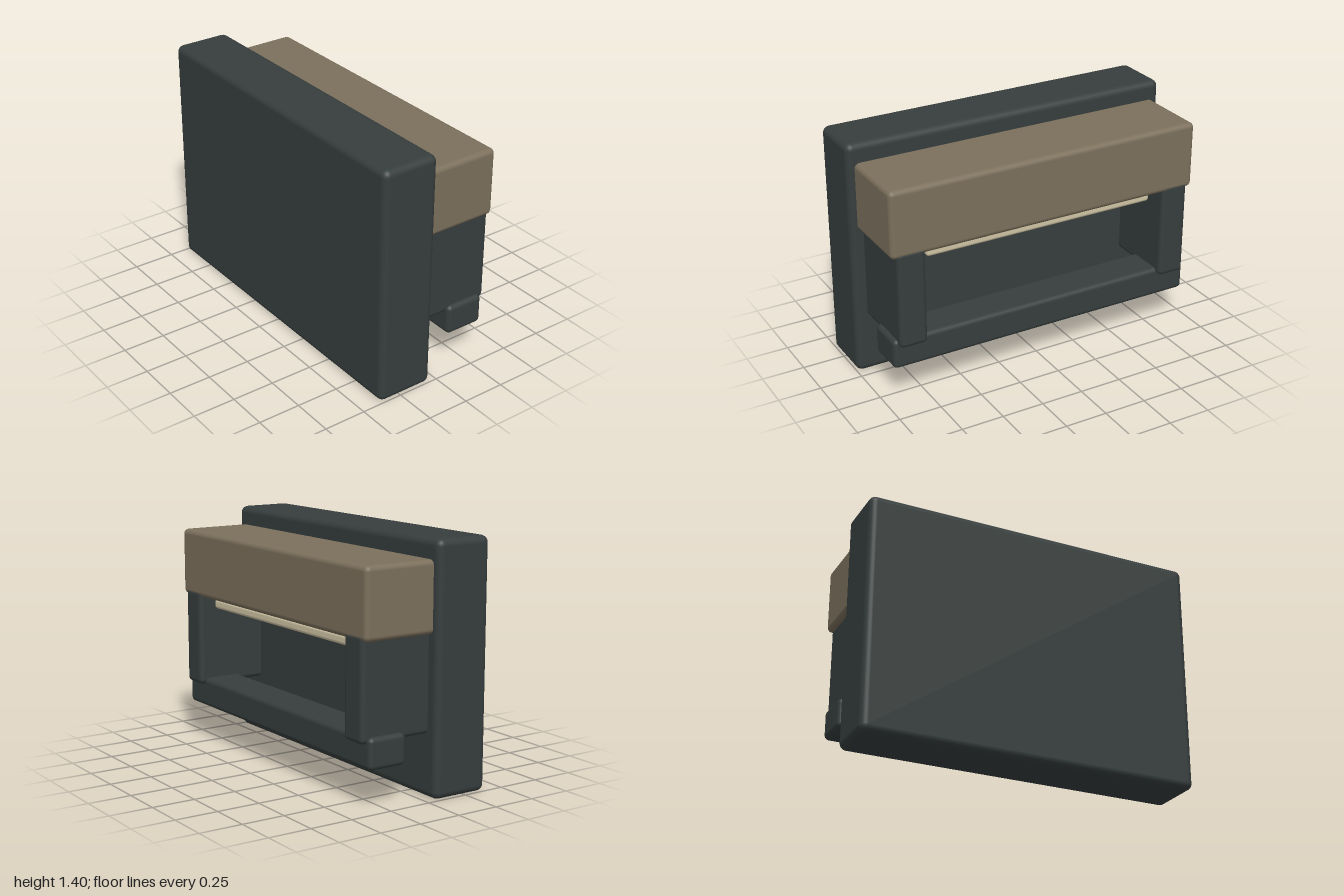
import * as THREE from 'three';
import { RoundedBoxGeometry } from 'three/addons/geometries/RoundedBoxGeometry.js';

const material = (name, color) => {
  const m = new THREE.MeshStandardMaterial({ color });
  m.name = name;
  return m;
};

// Rounded box given by its [min, max] extent on each axis
function block(name, mat, [x0, x1], [y0, y1], [z0, z1], radius) {
  const geometry = new RoundedBoxGeometry(x1 - x0, y1 - y0, z1 - z0, 4, radius);
  const mesh = new THREE.Mesh(geometry, mat);
  mesh.name = name;
  mesh.position.set((x0 + x1) / 2, (y0 + y1) / 2, (z0 + z1) / 2);
  return mesh;
}

export function createModel() {
  const dark = material('darkSlate', 0x363e3d);
  const brown = material('warmBrown', 0x7c705c);
  const cream = material('paleCream', 0xd2c6a6);

  const model = new THREE.Group();
  model.name = 'wallUnit';

  // Tall slab that everything is mounted on
  model.add(block('backSlab', dark, [-0.387, -0.043], [0, 1.4], [-1, 1], 0.04));

  // Overhanging hood, its inner end sunk into the slab
  model.add(block('hood', brown, [-0.12, 0.386], [0.895, 1.29], [-0.957, 0.957], 0.03));

  // Pale shelf under the hood
  model.add(block('underShelf', cream, [-0.1, 0.31], [0.825, 0.885], [-0.715, 0.715], 0.02));

  // Side brackets, mirrored
  for (const side of [-1, 1]) {
    const z = [0.757, 0.924].map((v) => v * side).sort((a, b) => a - b);
    model.add(block(side > 0 ? 'leftBracket' : 'rightBracket', dark,
      [-0.12, 0.387], [0.353, 0.93], z, 0.028));
  }

  // Bottom rail joining the brackets
  model.add(block('bottomRail', dark, [0.115, 0.352], [0.214, 0.391], [-0.95, 0.95], 0.028));

  return model;
}
